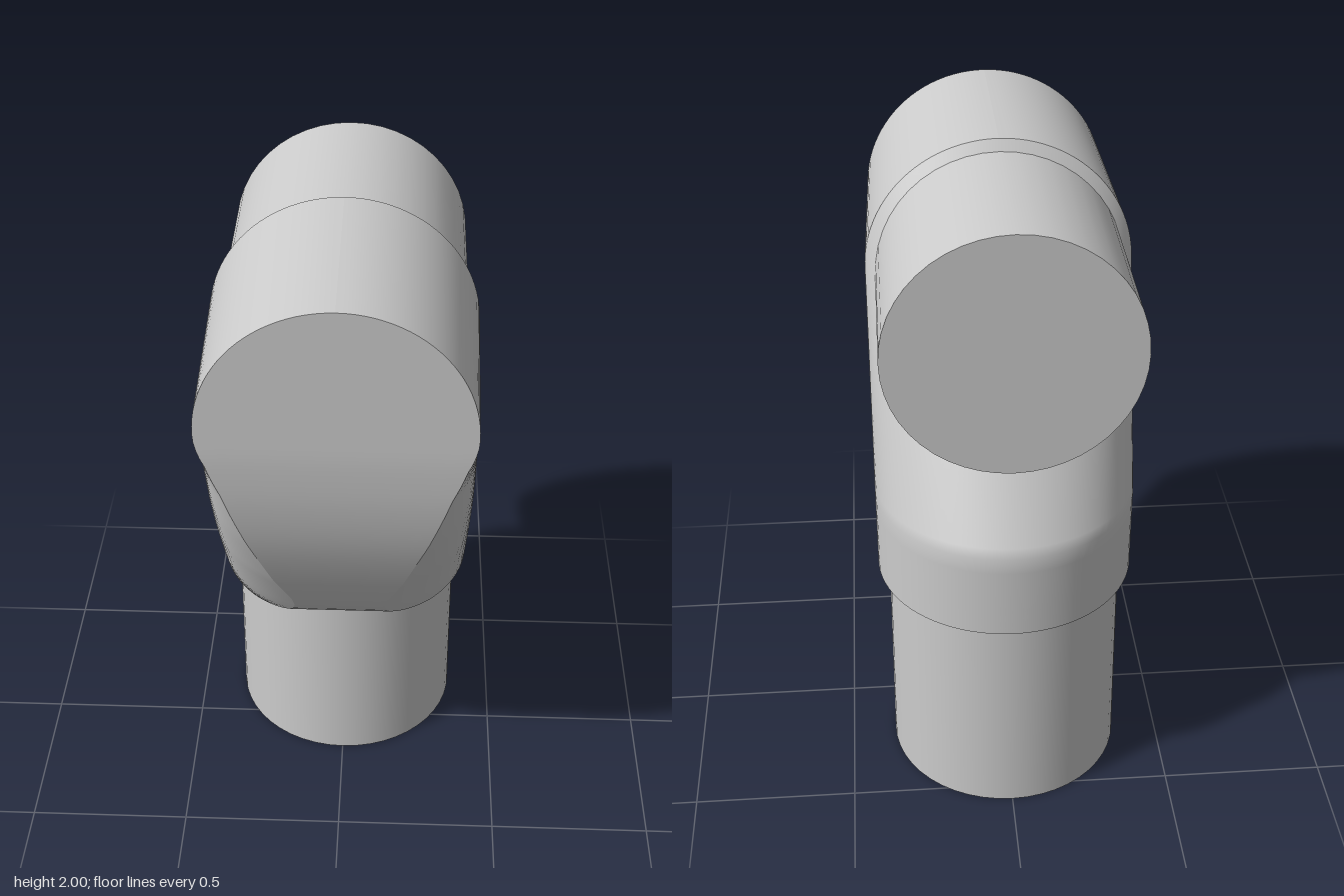
import * as THREE from 'three';

const R = 0.392, CY = 1.608, CZ = -0.2; // shell radius, upper axis height, lower axis depth
const BASE = 0.7, BEND = 0.97, FRONT = 0.593;

// Smooth-enough lookup through [y, z] points
function lookup(points, y) {
  for (let i = 1; i < points.length; i++) {
    const [y0, z0] = points[i - 1], [y1, z1] = points[i];
    if (y <= y1) return z0 + (z1 - z0) * (y - y0) / (y1 - y0);
  }
  return points[points.length - 1][1];
}

// Curved front profile, from the lower lip up to the flat upper face
const frontCurve = new THREE.SplineCurve([
  [0.7, 0.19], [0.712, 0.235], [0.735, 0.285], [0.78, 0.335], [0.885, 0.405], [1.05, 0.485],
  [1.2, 0.541], [1.35, 0.575], [1.5, 0.591], [CY, FRONT],
].map(p => new THREE.Vector2(...p))).getPoints(90).map(p => [p.x, p.y]);

// Depth where the flat flanks begin to round towards the front
const flankCurve = [[0.7, -0.09], [0.78, -0.03], [1.0, 0.12], [1.2, 0.245], [1.4, 0.36],
  [1.5, 0.44], [1.56, 0.52], [CY, FRONT]];

// Back of the shell: upright half round, then lofted to the upper ring at z = 0
function backZ(x, y) {
  const c = R * Math.sqrt(Math.max(0, 1 - (x / R) ** 2));
  const start = CZ - c;
  if (y <= BEND) return start;
  return Math.min(0, start - start * (y - BEND) / (CY - BEND + c));
}

// The four stretches of one horizontal section, counter-clockwise from above
function section(y) {
  const upper = y >= CY;
  const w = upper ? Math.sqrt(Math.max(0, R * R - (y - CY) ** 2)) : R;
  const zs = upper ? FRONT : lookup(frontCurve, y);
  const zf = upper ? FRONT : lookup(flankCurve, y);
  const a0 = Math.acos(Math.min(1, Math.max(0, (zs - zf) / R)));
  const e = upper ? w : R * Math.sin(a0);
  const front = [], left = [], back = [];
  for (let i = 0; i <= 12; i++) front.push([e * (i / 6 - 1), y, zs]);
  for (let i = 0; i <= 12; i++) {
    const a = a0 + (Math.PI / 2 - a0) * i / 12;
    left.push(upper ? [w, y, FRONT] : [R * Math.sin(a), y, zf + R * Math.cos(a)]);
  }
  left.push([w, y, backZ(w, y)]);
  for (let i = 0; i <= 40; i++) {
    const x = w * Math.cos(Math.PI * i / 40);
    back.push([x, y, backZ(x, y)]);
  }
  const right = left.map(([x, py, z]) => [-x, py, z]).reverse();
  return { front, left, back, right };
}

// Slight draft: the upper barrel narrows towards the front
function draft([x, y, z]) {
  const k = 1 - 0.035 * Math.max(0, z) / FRONT * THREE.MathUtils.smoothstep(y, 1.0, CY);
  return [x * k, y > CY ? CY + (y - CY) * k : y, z];
}

// Smooth surface through rows of points
function surface(rows) {
  const n = rows[0].length, index = [];
  for (let i = 0; i < rows.length - 1; i++) {
    for (let j = 0; j < n - 1; j++) {
      const a = i * n + j, d = a + n;
      index.push(a, a + 1, d + 1, a, d + 1, d);
    }
  }
  const geo = new THREE.BufferGeometry();
  geo.setAttribute('position', new THREE.Float32BufferAttribute(rows.flat().map(draft).flat(), 3));
  geo.setIndex(index);
  geo.computeVertexNormals();
  return geo;
}

export function createModel() {
  const model = new THREE.Group();
  const material = new THREE.MeshStandardMaterial({ color: 0xcccccc });
  const add = (parent, name, geo) => {
    const mesh = new THREE.Mesh(geo, material);
    mesh.name = name;
    parent.add(mesh);
    return mesh;
  };

  // Section heights: fine at the lip, even up the body, by angle over the rounded top
  const heights = [0.7, 0.706, 0.712, 0.722, 0.735, 0.755, 0.78, 0.82, 0.87, 0.92, BEND];
  for (let i = 1; i <= 24; i++) heights.push(BEND + (CY - BEND) * i / 24);
  for (let i = 1; i <= 24; i++) heights.push(CY + R * Math.sin(Math.PI / 2 * i / 24));
  const sections = heights.map(section);

  // Elbow shell
  const shell = new THREE.Group();
  shell.name = 'elbowShell';
  model.add(shell);
  for (const [key, name] of [['front', 'shellFront'], ['left', 'shellLeftFlank'],
    ['back', 'shellBack'], ['right', 'shellRightFlank']]) {
    add(shell, name, surface(sections.map(s => s[key])));
  }
  const s0 = sections[0];
  const rim = [...s0.front, ...s0.left, ...s0.back, ...s0.right];
  add(shell, 'shellUnderside', surface([rim.map(() => [0, BASE, CZ]), rim]));

  // Lower tube, upright
  add(model, 'lowerTube', new THREE.CylinderGeometry(0.357, 0.362, 0.75, 48))
    .position.set(0, 0.375, CZ);

  // Upper tube, pointing backwards
  const upperTube = add(model, 'upperTube', new THREE.CylinderGeometry(0.363, 0.363, 0.7, 48));
  upperTube.rotation.x = Math.PI / 2;
  upperTube.position.set(0, CY - 0.003, -0.205);

  return model;
}
